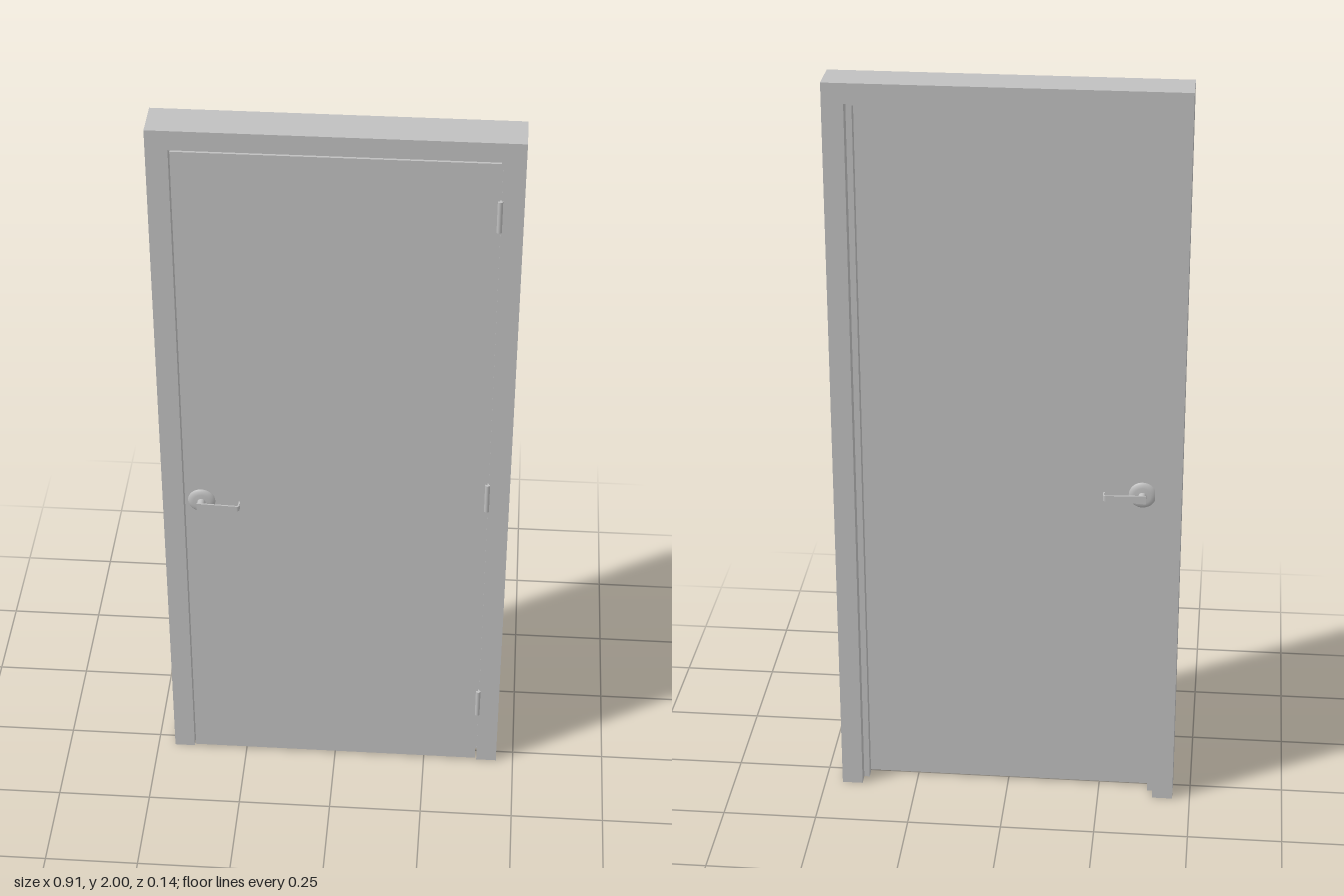
import * as THREE from 'three';

const FRONT = 0.036, BACK = -0.07;          // frame faces
const DOOR_FRONT = 0.036, DOOR_BACK = -0.009;

export function createModel() {
  const model = new THREE.Group();
  model.name = 'door';
  const grey = new THREE.MeshStandardMaterial({ color: 0xc0c0c0 });
  grey.name = 'grey metal';

  const add = (parent, name, geometry, x = 0, y = 0, z = 0) => {
    const mesh = new THREE.Mesh(geometry, grey);
    mesh.name = name;
    mesh.position.set(x, y, z);
    parent.add(mesh);
    return mesh;
  };

  // Two jambs and a header as one upside-down U, extruded through the wall
  const archway = (outerX, outerY, innerX, innerY, depth) => {
    const shape = new THREE.Shape([
      [-outerX, 0], [-innerX, 0], [-innerX, innerY], [innerX, innerY],
      [innerX, 0], [outerX, 0], [outerX, outerY], [-outerX, outerY],
    ].map(([x, y]) => new THREE.Vector2(x, y)));
    return new THREE.ExtrudeGeometry(shape, { depth, bevelEnabled: false });
  };
  add(model, 'frame', archway(0.453, 2, 0.398, 1.948, FRONT - BACK), 0, 0, BACK);
  add(model, 'doorStop', archway(0.398, 1.948, 0.383, 1.933, 0.026), 0, 0, DOOR_BACK - 0.027);

  // Door leaf with a narrow gap all round
  add(model, 'doorLeaf', new THREE.BoxGeometry(0.788, 1.938, DOOR_FRONT - DOOR_BACK),
    0, 0.006 + 0.969, (DOOR_FRONT + DOOR_BACK) / 2);

  // Hinge barrels
  for (const y of [0.218, 0.94, 1.798]) {
    add(model, 'hinge', new THREE.CylinderGeometry(0.0065, 0.0065, 0.086, 20), 0.395, y, 0.0375);
  }

  // Lever handle: s = 1 faces the front, s = -1 the back
  const handle = (name, s, z) => {
    const group = new THREE.Group();
    group.name = name;
    group.position.set(-0.35, 0.89, z);
    model.add(group);

    // Domed rose against the leaf
    const profile = [[0, -0.001], [0.036, -0.001], [0.036, 0.001], [0.031, 0.005], [0.022, 0.008], [0, 0.008]]
      .map(([r, h]) => new THREE.Vector2(r, h));
    add(group, 'rose', new THREE.LatheGeometry(profile, 32).rotateX(s * Math.PI / 2));

    // Neck
    add(group, 'neck', new THREE.CylinderGeometry(0.0105, 0.0105, 0.026, 24).rotateX(Math.PI / 2),
      0, 0, s * 0.018);

    // Flat lever with a rounded return towards the leaf
    const lever = new THREE.Shape();
    lever.moveTo(-0.0105, s * 0.031);
    lever.lineTo(0.094, s * 0.031);
    lever.quadraticCurveTo(0.102, s * 0.031, 0.102, s * 0.023);
    lever.lineTo(0.102, s * 0.008);
    lever.lineTo(0.098, s * 0.008);
    lever.lineTo(0.098, s * 0.022);
    lever.quadraticCurveTo(0.098, s * 0.027, 0.093, s * 0.027);
    lever.lineTo(-0.0105, s * 0.027);
    const geometry = new THREE.ExtrudeGeometry(lever, { depth: 1, bevelEnabled: false, curveSegments: 8 });
    geometry.translate(0, 0, -0.5).rotateX(Math.PI / 2);
    // Taper its height from neck to tip
    const p = geometry.attributes.position;
    for (let i = 0; i < p.count; i++) {
      const t = THREE.MathUtils.clamp(p.getX(i) / 0.1, 0, 1);
      p.setY(i, p.getY(i) * THREE.MathUtils.lerp(0.023, 0.015, t));
    }
    geometry.computeVertexNormals();
    add(group, 'lever', geometry);
  };
  handle('frontHandle', 1, DOOR_FRONT);
  handle('backHandle', -1, DOOR_BACK);

  return model;
}
